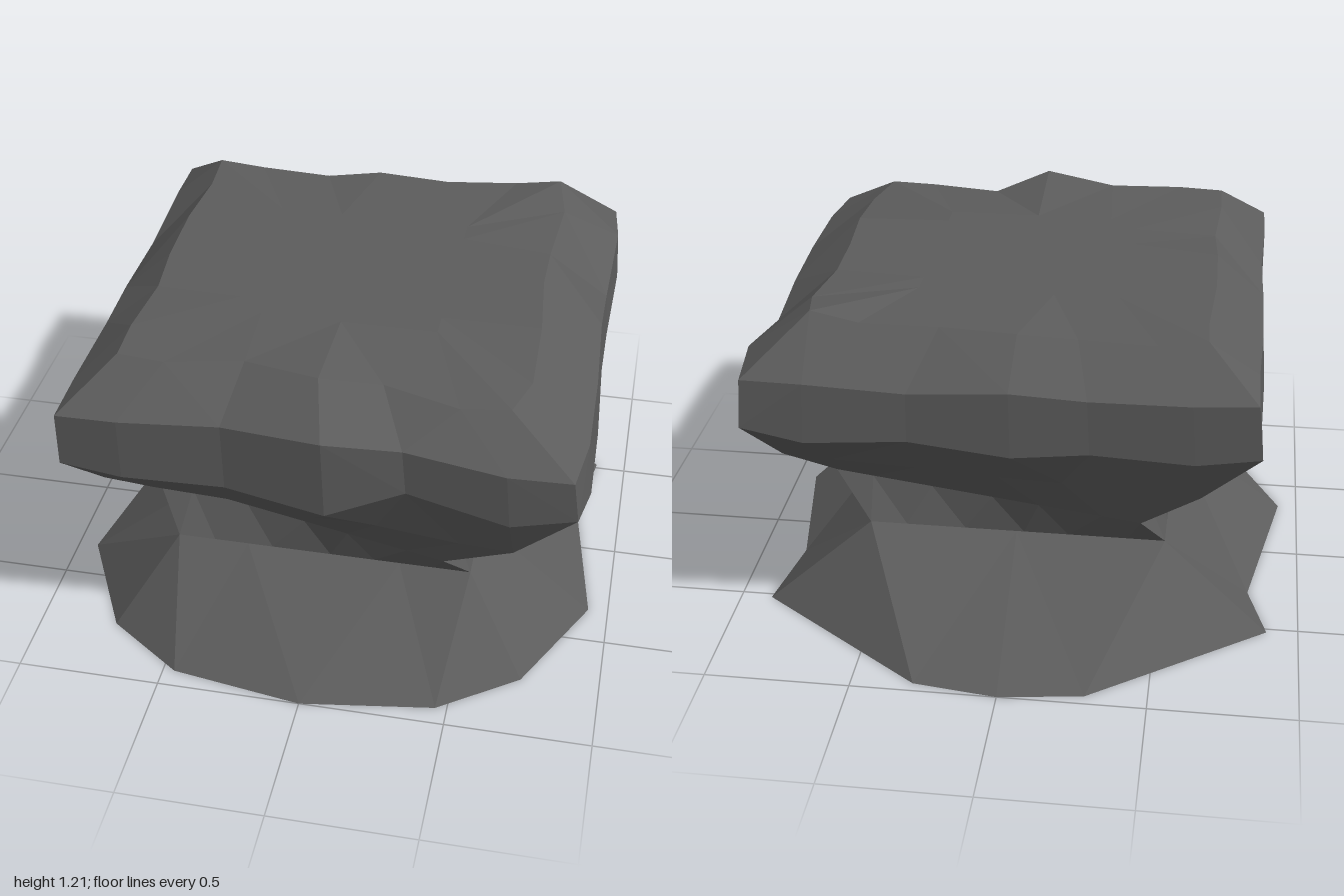
import * as THREE from 'three';

// Flat-shaded skin through closed rings (bottom to top), with optional end caps.
// Each quad is split along its shorter diagonal.
function loft(rings, bottom, top) {
  const pos = [];
  const tri = (...pts) => pts.forEach((p) => pos.push(...p));
  const dist = (a, b) => Math.hypot(a[0] - b[0], a[1] - b[1], a[2] - b[2]);
  for (let k = 0; k < rings.length - 1; k++) {
    const lo = rings[k], hi = rings[k + 1], n = lo.length;
    for (let i = 0; i < n; i++) {
      const [a, b, c, d] = [lo[i], lo[(i + 1) % n], hi[(i + 1) % n], hi[i]];
      if (dist(a, c) < dist(b, d)) {
        tri(a, b, c);
        tri(a, c, d);
      } else {
        tri(a, b, d);
        tri(b, c, d);
      }
    }
  }
  const first = rings[0], last = rings[rings.length - 1];
  if (bottom) first.forEach((p, i) => tri(bottom, first[(i + 1) % first.length], p));
  if (top) last.forEach((p, i) => tri(p, last[(i + 1) % last.length], top));
  const g = new THREE.BufferGeometry();
  g.setAttribute('position', new THREE.Float32BufferAttribute(pos, 3));
  g.computeVertexNormals();
  return g;
}

// Uneven four-sided ring of 24 points through [x, z] corners in the order
// front left edge, front right, back right, back left of the front view.
// y is a number or 24 heights; rough bends the sides in and out.
const STEPS = [-1, -0.75, -0.35, 0.05, 0.35, 0.75];
const DENT = [0, 0.3, -0.6, 0.8, -1, 0.3, 0, 0.9, 0.8, 0.3, 0.3, 0.7,
  0, 0.2, -0.2, 0.3, -0.2, 0.2, 0, -0.1, 0.2, 0.1, -0.2, 0.1];
function ring(y, corners, rough = 0) {
  return Array.from({ length: 24 }, (_, i) => {
    const side = Math.floor(i / 6), f = (STEPS[i % 6] + 1) / 2, d = DENT[i] * rough;
    const a = corners[side], b = corners[(side + 1) % 4];
    const out = [[0, d], [d, 0], [0, -d], [-d, 0]][side];
    return [a[0] + (b[0] - a[0]) * f + out[0], Array.isArray(y) ? y[i] : y,
      a[1] + (b[1] - a[1]) * f + out[1]];
  });
}
const rect = (xl, xr, zb, zf) => [[xl, zf], [xr, zf], [xr, zb], [xl, zb]];

export function createModel() {
  const stone = new THREE.MeshStandardMaterial({ color: 0x5c5c5c });
  stone.name = 'dark stone';
  const group = new THREE.Group();
  group.name = 'stonePedestal';
  const add = (name, geometry) => {
    const mesh = new THREE.Mesh(geometry, stone);
    mesh.name = name;
    group.add(mesh);
  };

  // Flared foot: irregular footprint narrowing to a rectangular neck
  const foot = [[-0.73, 0.74], [-0.46, 0.93], [0, 1], [0.46, 0.93], [0.73, 0.74], [0.93, 0.34],
    [0.84, -0.2], [0.89, -0.52], [0.29, -0.96], [0, -1], [-0.29, -0.96], [-0.89, -0.52],
    [-0.82, -0.28], [-0.93, 0.34]];
  const neck = [[-0.52, 0.58], [-0.27, 0.58], [0, 0.58], [0.27, 0.58], [0.52, 0.58], [0.52, 0.3],
    [0.52, -0.2], [0.52, -0.47], [0.27, -0.47], [0, -0.47], [-0.27, -0.47], [-0.52, -0.47],
    [-0.52, -0.24], [-0.52, 0.3]];
  const at = (pts, y) => pts.map(([x, z]) => [x, y, z]);
  add('foot', loft([at(foot, 0), at(neck, 0.32)], [0, 0, 0]));

  // Rim heights, listed front, +x side, back, -x side
  const lower = [0.83, 0.81, 0.8, 0.77, 0.86, 0.81, 0.86, 0.81, 0.8, 0.83, 0.81, 0.86,
    0.85, 0.81, 0.83, 0.8, 0.82, 0.81, 0.84, 0.8, 0.82, 0.79, 0.83, 0.8];
  const middle = [1.02, 1.03, 1.04, 1.05, 1.02, 1.0, 1.0, 1.0, 1.01, 1.02, 0.98, 1.04,
    1.02, 1.02, 1.0, 1.03, 1.01, 1.02, 1.03, 1.04, 1.0, 1.02, 1.03, 1.02];
  const upper = [1.17, 1.17, 1.18, 1.2, 1.14, 1.13, 1.14, 1.13, 1.16, 1.17, 1.16, 1.18,
    1.21, 1.18, 1.17, 1.17, 1.15, 1.15, 1.17, 1.16, 1.17, 1.17, 1.16, 1.17];

  // Neck twisting a few degrees about the vertical
  const twisted = ring(0.46, [[-0.62, 0.46], [0.44, 0.7], [0.66, -0.36], [-0.44, -0.59]]);
  add('twistedNeck', loft([ring(0.32, rect(-0.52, 0.52, -0.47, 0.58)), twisted]));

  // Spreading underside, untwisting up to the lower rim
  const lowerRim = ring(lower, [[-0.81, 0.88], [0.88, 0.89], [0.87, -0.79], [-0.83, -0.78]], 0.03);
  add('underside', loft([
    twisted,
    ring(0.64, [[-0.73, 0.7], [0.68, 0.82], [0.79, -0.58], [-0.64, -0.7]], 0.01),
    lowerRim,
  ]));

  // Chunky block with bevelled edges and a slightly dished top
  add('slab', loft([
    lowerRim,
    ring(middle, [[-0.81, 0.88], [0.86, 0.885], [0.86, -0.78], [-0.81, -0.78]], 0.03),
    ring(upper, [[-0.64, 0.71], [0.64, 0.73], [0.65, -0.63], [-0.64, -0.62]], 0.05),
    ring(1.165, rect(-0.33, 0.35, -0.31, 0.38)),
  ], null, [0, 1.16, 0.04]));

  return group;
}
